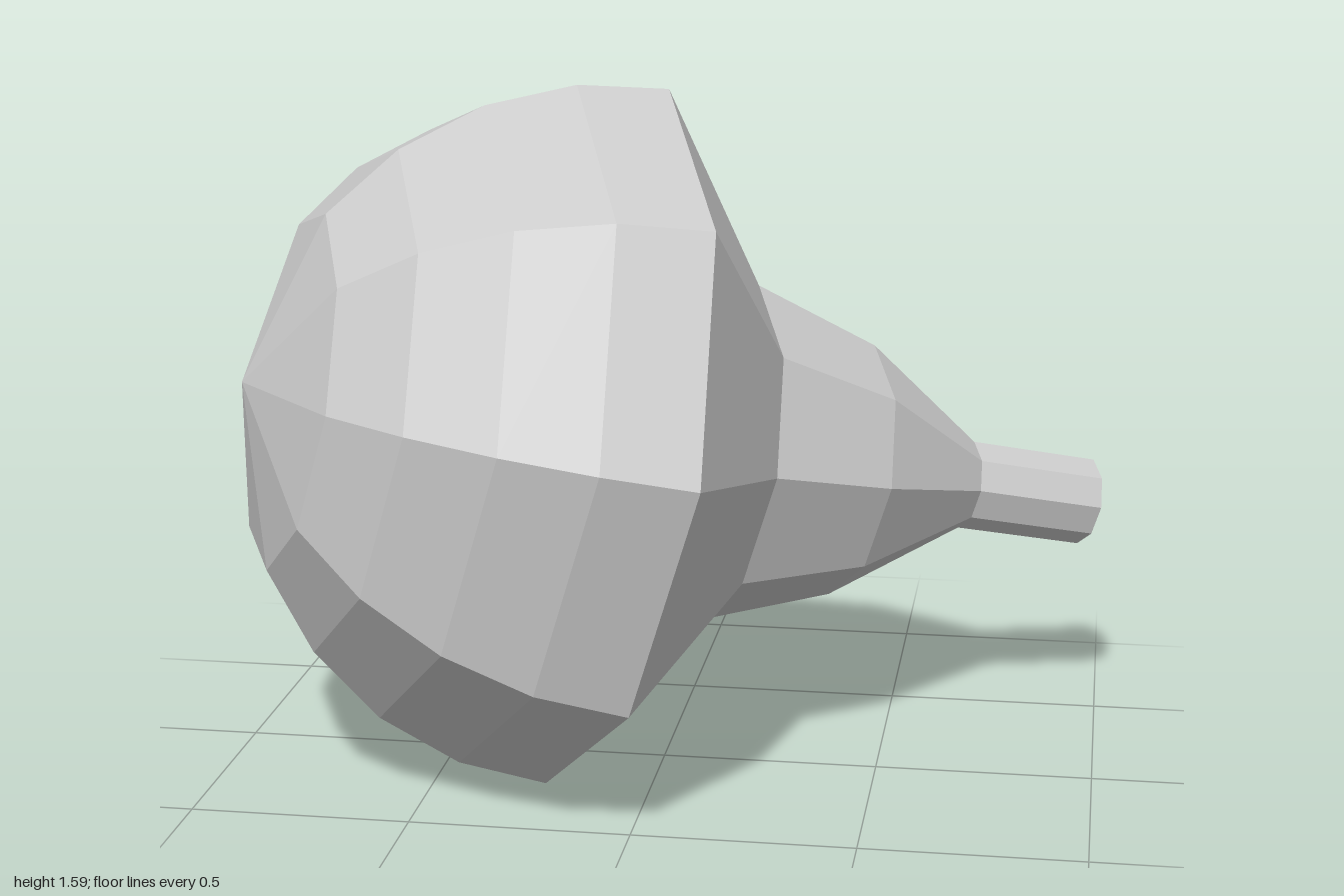
import * as THREE from 'three';

const SIDES = 9;
const R = 0.82; // radius of the bulb

export function createModel() {
  const group = new THREE.Group();
  group.name = 'bulbWithSpout';
  const material = new THREE.MeshStandardMaterial({
    color: 0xcccccc, flatShading: true, side: THREE.DoubleSide,
  });

  // Each part is a nine-sided lathe of [radius, height] points along the axis
  const addPart = (name, profile) => {
    const points = profile.map(([r, h]) => new THREE.Vector2(r, h));
    const mesh = new THREE.Mesh(new THREE.LatheGeometry(points, SIDES), material);
    mesh.name = name;
    group.add(mesh);
  };

  // Hemispherical bulb: a wide cap, then rings every 15 degrees up to the rim
  const dome = [[0, -R]];
  for (let deg = 60; deg >= 0; deg -= 15) {
    const a = THREE.MathUtils.degToRad(deg);
    dome.push([R * Math.cos(a), -R * Math.sin(a)]);
  }
  addPart('bulb', dome);

  // Shoulder and neck narrowing towards the spout
  addPart('neck', [[R, 0], [0.406, 0.323], [0.307, 0.644], [0.108, 0.961]]);

  // Open-ended spout
  addPart('spout', [[0.108, 0.961], [0.107, 1.286]]);

  // Lean the whole lathe onto its tilted axis
  const axis = new THREE.Vector3(0.8826, -0.209, -0.421).normalize();
  const corner = new THREE.Vector3(0.451, 0.079, 0.888);
  const side = new THREE.Vector3().crossVectors(axis, corner).normalize();
  corner.crossVectors(side, axis);
  group.quaternion.setFromRotationMatrix(new THREE.Matrix4().makeBasis(side, axis, corner));
  group.position.set(-0.183, 0.78, -0.038);

  const root = new THREE.Group();
  root.name = 'model';
  root.add(group);
  return root;
}
